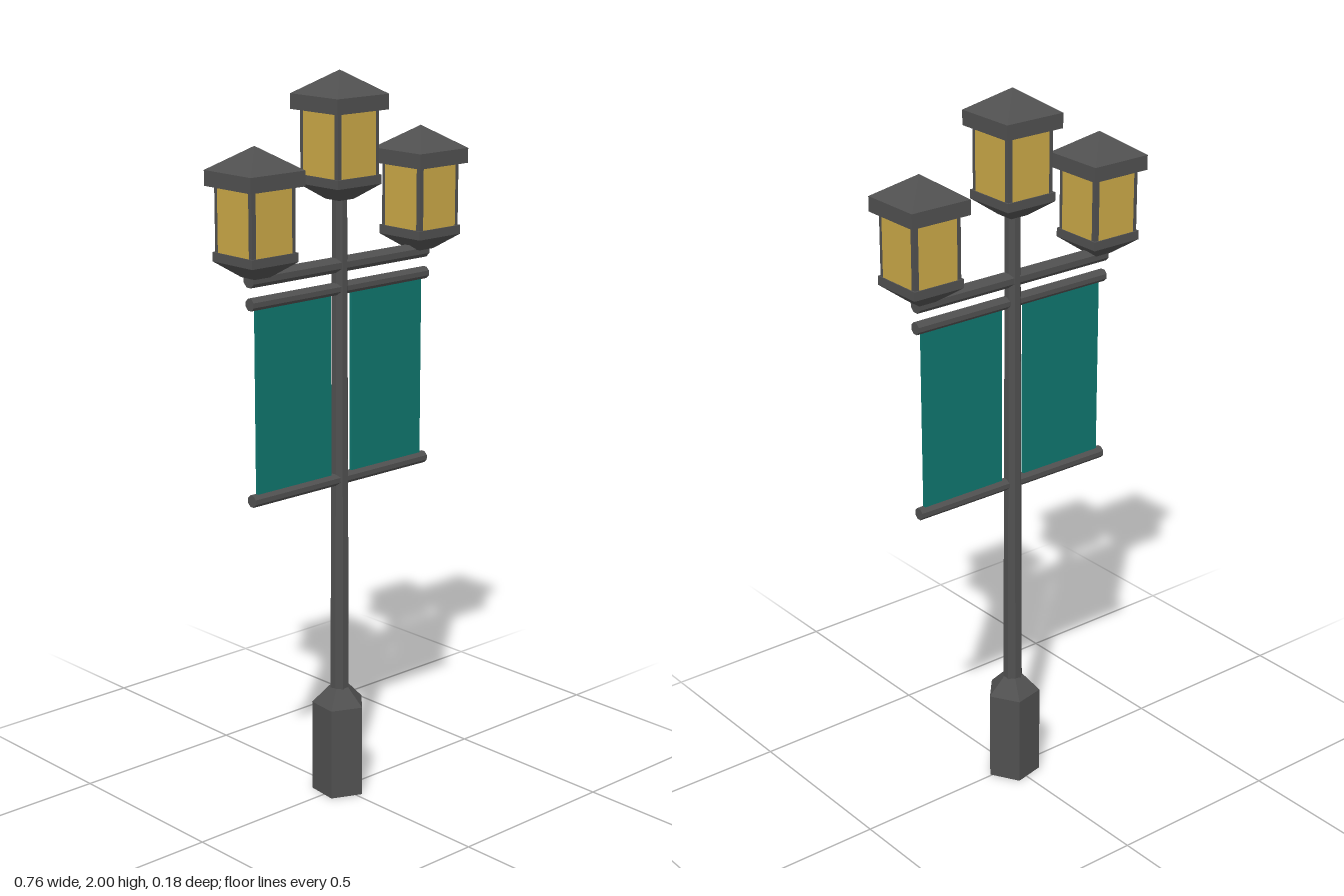
import * as THREE from 'three';

const mat = (name, color) => {
  const m = new THREE.MeshStandardMaterial({ color, flatShading: true });
  m.name = name;
  return m;
};

export function createModel() {
  const metal = mat('dark metal', 0x505050);
  const glass = mat('amber glass', 0xcaa847);
  const cloth = mat('teal cloth', 0x0f766e);
  const root = new THREE.Group();
  root.name = 'streetLamp';

  const add = (parent, name, geo, material, x = 0, y = 0, z = 0) => {
    const mesh = new THREE.Mesh(geo, material);
    mesh.name = name;
    mesh.position.set(x, y, z);
    parent.add(mesh);
    return mesh;
  };

  // Upright tapered prism between two heights
  const prism = (parent, name, rBottom, rTop, y0, y1, sides, turn, z = 0) => {
    const geo = new THREE.CylinderGeometry(rTop, rBottom, y1 - y0, sides);
    geo.rotateY(turn);
    return add(parent, name, geo, metal, 0, (y0 + y1) / 2, z);
  };
  // Square version, sized by half widths
  const square = (parent, name, hBottom, hTop, y0, y1) =>
    prism(parent, name, hBottom * Math.SQRT2, hTop * Math.SQRT2, y0, y1, 4, Math.PI / 4);

  // Five-sided foot and slender pole
  const turn = THREE.MathUtils.degToRad(12);
  prism(root, 'base', 0.076, 0.076, 0, 0.26, 5, turn, -0.003);
  prism(root, 'baseCollar', 0.076, 0.03, 0.26, 0.308, 5, turn, -0.003);
  prism(root, 'pole', 0.027, 0.021, 0.29, 1.69, 8, Math.PI / 8, -0.003);

  // Horizontal lamp arm and banner rods
  const rod = (name, r, y, z) => {
    const geo = new THREE.CylinderGeometry(r, r, 0.626, 8);
    geo.rotateY(Math.PI / 8);
    geo.rotateZ(Math.PI / 2);
    add(root, name, geo, metal, 0, y, z);
  };
  rod('lampArm', 0.021, 1.494, -0.003);
  rod('upperBannerRod', 0.017, 1.431, 0);
  rod('lowerBannerRod', 0.017, 0.909, 0);

  // Banners on both sides of the pole
  for (const s of [-1, 1]) {
    add(root, s > 0 ? 'leftBanner' : 'rightBanner',
      new THREE.BoxGeometry(0.258, 0.51, 0.009), cloth, s * 0.166, 1.17, 0);
  }

  // Square lantern, measured from its underside
  const lantern = (name, x, y, z) => {
    const g = new THREE.Group();
    g.name = name;
    g.position.set(x, y, z);
    root.add(g);
    square(g, 'lanternFoot', 0.026, 0.077, 0, 0.04);
    square(g, 'lanternTray', 0.077, 0.077, 0.04, 0.064);
    square(g, 'lanternFrame', 0.072, 0.072, 0.064, 0.235);
    square(g, 'lanternEave', 0.09, 0.09, 0.232, 0.272);
    square(g, 'lanternRoof', 0.09, 0, 0.272, 0.333);
    // One pane on each face of the frame
    for (let i = 0; i < 4; i++) {
      const a = (i * Math.PI) / 2;
      const pane = add(g, 'pane', new THREE.BoxGeometry(0.118, 0.17, 0.006), glass,
        Math.sin(a) * 0.071, 0.149, Math.cos(a) * 0.071);
      pane.rotation.y = a;
    }
  };
  lantern('centreLantern', 0, 1.667, -0.003);
  lantern('leftLantern', 0.292, 1.5, 0);
  lantern('rightLantern', -0.292, 1.5, 0);

  return root;
}
